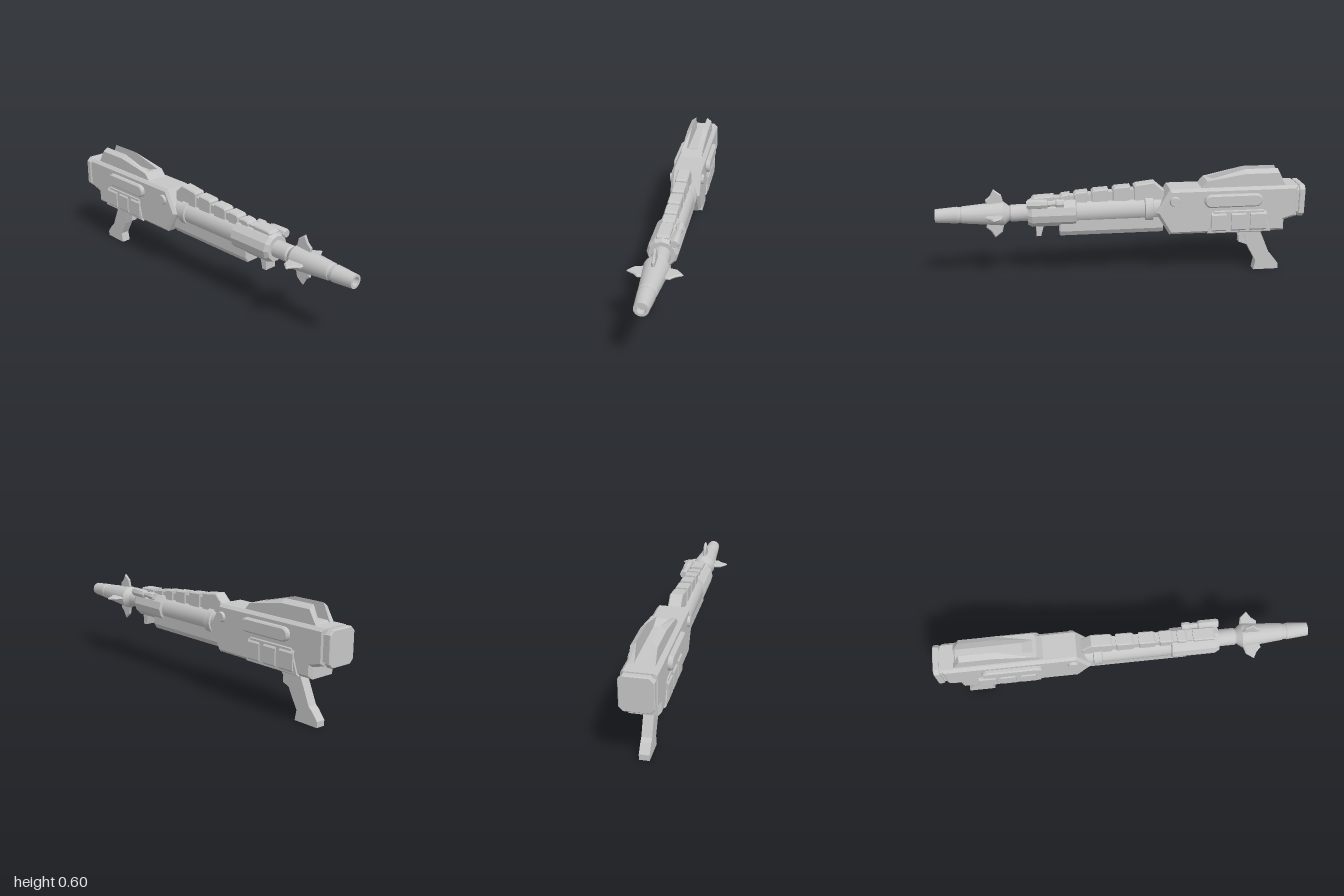
import * as THREE from 'three';
import { toCreasedNormals } from 'three/addons/utils/BufferGeometryUtils.js';

const AXIS = 0.385; // height of the barrel axis

export function createModel() {
  const model = new THREE.Group();
  const grey = new THREE.MeshStandardMaterial({ color: 0xc6c6c6 });
  grey.name = 'plain grey';

  const add = (name, geo) => {
    const mesh = new THREE.Mesh(geo, grey);
    mesh.name = name;
    model.add(mesh);
    return mesh;
  };
  const shapeOf = (pts) => new THREE.Shape(pts.map(([a, b]) => new THREE.Vector2(a, b)));
  const extrude = (shape, depth, bevel) => new THREE.ExtrudeGeometry(shape, {
    depth: depth - 2 * bevel, bevelEnabled: bevel > 0, bevelThickness: bevel,
    bevelSize: bevel, bevelOffset: -bevel, bevelSegments: 1, curveSegments: 6,
  }).translate(0, 0, bevel - depth / 2);
  // (z, y) shape extruded sideways, centred on x
  const sideShape = (shape, width, bevel, x) =>
    extrude(shape, width, bevel).rotateY(-Math.PI / 2).translate(x, 0, 0);
  // the same from a list of (z, y) points
  const side = (pts, width, bevel = 0, x = 0) => sideShape(shapeOf(pts), width, bevel, x);
  // (x, y) outline extruded from z0 to z1
  const along = (pts, z0, z1, bevel = 0) =>
    extrude(shapeOf(pts), z1 - z0, bevel).translate(0, 0, (z0 + z1) / 2);
  // [radius, z] profile turned around a line parallel to z
  const turned = (pts, sides, x = 0, y = AXIS) => toCreasedNormals(
    new THREE.LatheGeometry(pts.map(([r, z]) => new THREE.Vector2(r, z)), sides)
      .rotateX(Math.PI / 2).translate(x, y, 0), 0.45);

  // Receiver and rear cap
  add('receiver', side([[-0.175, 0.375], [-0.25, 0.25], [-0.89, 0.25], [-0.89, 0.31],
    [-0.96, 0.33], [-0.96, 0.505], [-0.25, 0.505]], 0.168, 0.015));
  const capOutline = (w, y0, y1, c) => [[-w + c, y0], [w - c, y0], [w, y0 + c], [w, y1 - c],
    [w - c, y1], [c - w, y1], [-w, y1 - c], [-w, y0 + c]];
  add('rearNeck', along(capOutline(0.076, 0.335, 0.498, 0.02), -0.975, -0.95));
  add('rearCap', along(capOutline(0.084, 0.325, 0.505, 0.022), -1, -0.967, 0.004));

  // Raised sight housing: front block, channel floor and two sloping walls
  add('sightBase', side([[-0.42, 0.5], [-0.455, 0.54], [-0.475, 0.54], [-0.53, 0.52],
    [-0.88, 0.515], [-0.89, 0.5]], 0.12));
  for (const s of [-1, 1]) {
    const wall = side([[-0.42, 0.5], [-0.46, 0.54], [-0.67, 0.595], [-0.85, 0.595],
      [-0.895, 0.5]], 0.028, 0, s * 0.048);
    const p = wall.attributes.position;
    for (let i = 0; i < p.count; i++) {
      if (p.getY(i) > 0.55 && Math.abs(p.getX(i)) > 0.05) p.setY(i, p.getY(i) - 0.02);
    }
    wall.computeVertexNormals();
    add('sightWall', wall);
  }

  // Details mirrored on both sides of the receiver
  const r = 0.036;
  const pill = new THREE.Shape();
  pill.moveTo(-0.757 + r, 0.402);
  pill.lineTo(-0.436 - r, 0.402);
  pill.absarc(-0.436 - r, 0.402 + r, r, -Math.PI / 2, Math.PI / 2, false);
  pill.lineTo(-0.757 + r, 0.474);
  pill.absarc(-0.757 + r, 0.402 + r, r, Math.PI / 2, Math.PI * 1.5, false);
  for (const s of [-1, 1]) {
    add('sidePanel', sideShape(pill, 0.03, 0.008, s * 0.092));

    add('gripBacking', side([[-0.46, 0.25], [-0.49, 0.38], [-0.77, 0.38], [-0.815, 0.25]],
      0.02, 0.006, s * 0.079));
    for (const [z0, z1] of [[-0.56, -0.48], [-0.67, -0.59], [-0.785, -0.695]]) {
      const section = [[0.07, 0.247], [0.076, 0.247], [0.096, 0.272], [0.096, 0.355],
        [0.084, 0.37], [0.07, 0.37]].map(([x, y]) => [x * s, y]);
      add('gripPlate', along(section, z0, z1));
    }

    add('pivotBolt', toCreasedNormals(new THREE.CylinderGeometry(0.024, 0.03, 0.016, 16)
      .rotateZ(-s * Math.PI / 2).translate(s * 0.089, 0.44, -0.275), 0.5));
  }

  // Pistol grip and trigger
  add('pistolGrip', side([[-0.62, 0.255], [-0.645, 0.232], [-0.68, 0.222], [-0.71, 0.14],
    [-0.757, 0.055], [-0.747, 0], [-0.89, 0], [-0.89, 0.03], [-0.855, 0.075],
    [-0.835, 0.092], [-0.765, 0.255]], 0.052));
  add('trigger', side([[-0.625, 0.245], [-0.655, 0.205], [-0.655, 0.17], [-0.705, 0.15],
    [-0.74, 0.24]], 0.034));

  // Handguard tube, collar, shroud and inner barrel
  add('handguard', turned([[0, -0.24], [0.066, -0.24], [0.066, 0.26]], 16));
  add('collar', turned([[0.06, -0.168], [0.075, -0.162], [0.075, -0.12], [0.06, -0.114]], 16));
  add('shroud', turned([[0.06, 0.25], [0.08, 0.257], [0.08, 0.49], [0.068, 0.512],
    [0.04, 0.512]], 12));
  add('barrel', turned([[0.046, 0.5], [0.046, 0.6], [0.038, 0.612], [0.038, 0.63]], 16));
  add('muzzle', turned([[0.036, 0.605], [0.064, 0.64], [0.064, 0.655], [0.046, 0.86],
    [0.042, 0.865], [0.042, 0.88], [0.045, 0.885], [0.036, 1], [0.023, 1], [0.021, 0.97],
    [0, 0.97]], 16));

  // Four swept fins around the muzzle
  for (let i = 0; i < 4; i++) {
    const fin = add('muzzleFin', side([[0.635, 0.04], [0.65, 0.105], [0.69, 0.136],
      [0.71, 0.1], [0.735, 0.078], [0.73, 0.04]], 0.016, 0.006));
    fin.position.y = AXIS;
    fin.rotation.z = i * Math.PI / 2;
  }

  // Lower handguard and front foot
  add('lowerGuard', along([[-0.036, 0.258], [0.036, 0.258], [0.052, 0.285], [0.052, 0.35],
    [-0.052, 0.35], [-0.052, 0.285]], -0.22, 0.345, 0.004));
  add('frontFoot', side([[0.47, 0.33], [0.47, 0.258], [0.445, 0.258], [0.425, 0.33]], 0.066));

  // Stepped top rail
  add('railSpine', side([[0.46, 0.42], [0.46, 0.465], [0.33, 0.472], [-0.19, 0.51],
    [-0.22, 0.42]], 0.056));
  const blocks = [[0.49, 0.37, 0.48], [0.34, 0.285, 0.488], [0.265, 0.19, 0.499],
    [0.17, 0.08, 0.509], [0.055, -0.04, 0.52]];
  for (const [front, back, top] of blocks) {
    add('railBlock', side([[front, 0.42], [front, top - 0.015], [front - 0.012, top - 0.005],
      [back, top], [back, 0.42]], 0.068, 0.006));
  }
  add('rearRailBlock', side([[-0.06, 0.42], [-0.06, 0.518], [-0.07, 0.526], [-0.17, 0.538],
    [-0.225, 0.49], [-0.225, 0.42]], 0.068, 0.006));

  // Small tube clamped to the left side of the shroud
  add('sideTube', turned([[0, 0.32], [0.02, 0.32], [0.023, 0.325], [0.023, 0.36],
    [0.016, 0.365], [0.016, 0.405], [0.024, 0.41], [0.026, 0.42], [0.026, 0.505],
    [0.02, 0.518], [0, 0.518]], 8, 0.062, 0.448));

  return model;
}
